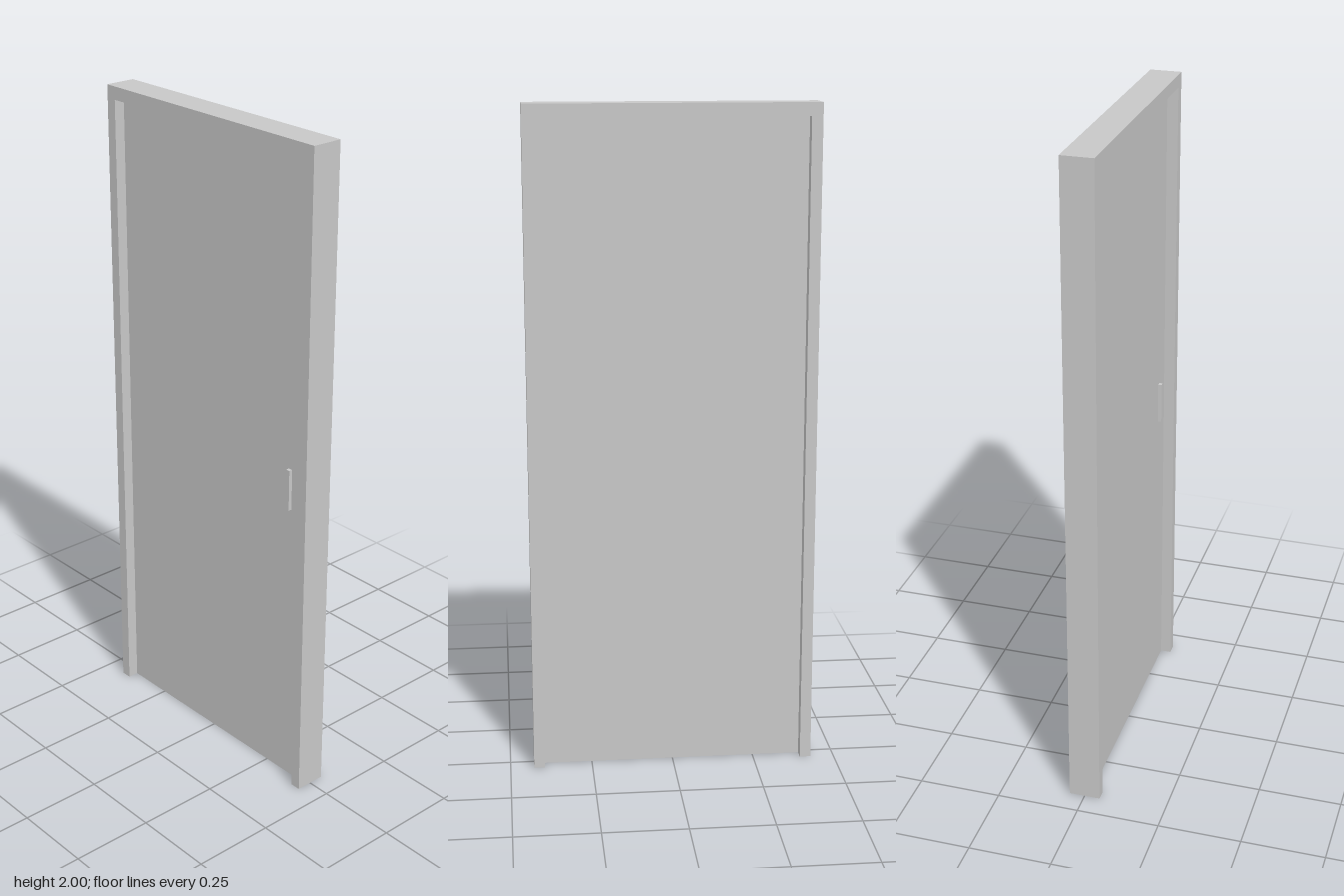
import * as THREE from 'three';

export function createModel() {
  const group = new THREE.Group();
  const grey = new THREE.MeshStandardMaterial({ color: 0xc8c8c8 });
  grey.name = 'lightGrey';

  const add = (name, geometry, x, y, z) => {
    const mesh = new THREE.Mesh(geometry, grey);
    mesh.name = name;
    mesh.position.set(x, y, z);
    group.add(mesh);
  };

  const halfWidth = 0.428, height = 2, depth = 0.094;
  const jamb = 0.033, lintel = 0.039;
  const inner = halfWidth - jamb, opening = height - lintel;

  // Door frame: two jambs and a lintel in one outline, open at the floor
  const outline = new THREE.Shape([
    [-halfWidth, 0], [-inner, 0], [-inner, opening], [inner, opening],
    [inner, 0], [halfWidth, 0], [halfWidth, height], [-halfWidth, height],
  ].map(([x, y]) => new THREE.Vector2(x, y)));
  add('doorFrame', new THREE.ExtrudeGeometry(outline, { depth, bevelEnabled: false }), 0, 0, -depth / 2);

  // Door leaf, recessed on both sides
  const leafDepth = 0.028;
  add('doorLeaf', new THREE.BoxGeometry(inner * 2, opening, leafDepth), 0, opening / 2, 0);

  // Slim vertical pull on the front only
  const pullDepth = 0.011;
  add('handle', new THREE.BoxGeometry(0.013, 0.127, pullDepth), 0.33, 0.972, (leafDepth + pullDepth) / 2);

  return group;
}
